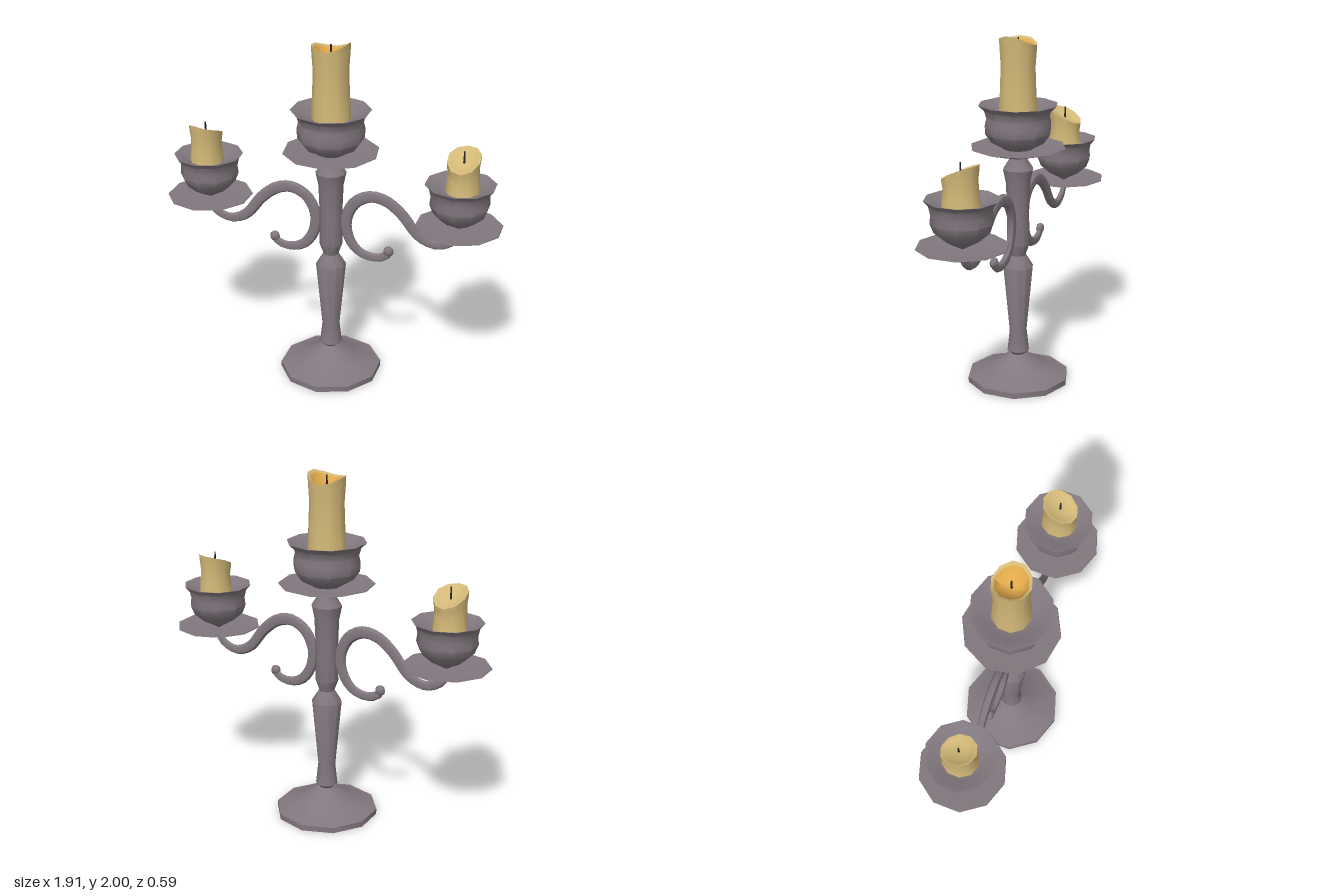
import * as THREE from 'three';
import { toCreasedNormals } from 'three/addons/utils/BufferGeometryUtils.js';

const std = (name, color) => Object.assign(new THREE.MeshStandardMaterial({ color }), { name });

export function createModel() {
  const metal = std('pewter', 0x82787f);
  const wax = std('wax', 0xd3b978);
  const hotWax = std('meltedWax', 0xe0a84a);
  const wickMat = std('wick', 0x26262c);

  const root = new THREE.Group();
  root.name = 'candelabra';

  const add = (parent, name, geo, mat) => {
    const m = new THREE.Mesh(geo, mat);
    m.name = name;
    parent.add(m);
    return m;
  };

  // Ten-sided turned shape, profile as [radius, y] from bottom to top
  const turned = (profile) =>
    new THREE.LatheGeometry(profile.map(([r, y]) => new THREE.Vector2(r, y)), 10);
  const crease = (geo) => toCreasedNormals(geo, 0.7);

  // Move each vertex height by a rule of radius, height and angle parts
  const reshape = (geo, rule) => {
    const p = geo.attributes.position;
    for (let i = 0; i < p.count; i++) {
      const x = p.getX(i), z = p.getZ(i), r = Math.hypot(x, z);
      const c = r > 1e-5 ? x / r : 0, s = r > 1e-5 ? z / r : 0;
      p.setY(i, rule(r, p.getY(i), c, s));
    }
    return crease(geo);
  };

  // Candle with an uneven rim, a hollow top and a wick
  const candle = (o) => {
    const g = new THREE.Group();
    g.name = 'candle';
    const { r, base, rim, mid, depth } = o;
    const wall = turned([[r * 1.04, 0], [r * 0.97, 0.3], [r * 0.92, 0.65], [r * 0.98, 0.88], [r, 1]]);
    add(g, 'candleWall', reshape(wall, (_, t, c, s) => base + t * (rim(c, s) - base)), wax);
    const lip = turned([[r, 0], [r * 0.85, 0.15]]);
    const pool = turned([[r * 0.85, 0.15], [r * 0.6, 0.7], [r * 0.3, 0.95], [0, 1]]);
    const sink = (rad, t, c, s) => mid + (rim(c, s) - mid) * (rad / r) - depth * t;
    add(g, 'candleLip', reshape(lip, sink), wax);
    add(g, 'meltedPool', reshape(pool, sink), o.pool);
    const foot = mid - depth - 0.01;
    const wick = new THREE.CylinderGeometry(0.004, 0.007, o.wickTop - foot, 6);
    wick.translate(0, (o.wickTop + foot) / 2, 0);
    add(g, 'wick', wick, wickMat);
    return g;
  };

  // Base and column
  add(root, 'base', crease(turned([
    [0, 0], [0.294, 0], [0.294, 0.032], [0.275, 0.034], [0.135, 0.098], [0.048, 0.16],
  ])), metal);
  add(root, 'column', crease(turned([
    [0.04, 0.155], [0.064, 0.178], [0.062, 0.19], [0.05, 0.3], [0.086, 0.69], [0.044, 0.757],
    [0.046, 0.765], [0.066, 0.82], [0.063, 1.0], [0.07, 1.18], [0.086, 1.257], [0.045, 1.322], [0.045, 1.34],
  ])), metal);

  // Central drip plate, cup and candle
  const plate = add(root, 'centrePlate', crease(turned([
    [0, 1.318], [0.05, 1.322], [0.268, 1.382], [0.266, 1.386], [0, 1.366],
  ])), metal);
  plate.rotation.y = Math.PI / 20;
  add(root, 'centreCup', crease(turned([
    [0.07, 1.36], [0.09, 1.38], [0.15, 1.412], [0.184, 1.46], [0.187, 1.51], [0.178, 1.55],
    [0.19, 1.59], [0.222, 1.62], [0.2, 1.616], [0.15, 1.588], [0.1, 1.572], [0, 1.57],
  ])), metal);
  root.add(candle({
    r: 0.105, base: 1.565, mid: 1.965, depth: 0.06, wickTop: 1.983, pool: hotWax,
    rim: (c, s) => 1.9725 + 0.01 * c + 0.01 * s + 0.0175 * (c * c - s * s),
  }));

  // Scrolled arm, thickest in the middle of the curl
  const path = new THREE.CatmullRomCurve3([
    [0.725, 0.99], [0.705, 0.94], [0.61, 0.895], [0.51, 0.93], [0.41, 1.05], [0.32, 1.12], [0.23, 1.137],
    [0.14, 1.09], [0.09, 0.985], [0.105, 0.87], [0.165, 0.79], [0.25, 0.765], [0.32, 0.785], [0.338, 0.822],
  ].map(([x, y]) => new THREE.Vector3(x, y, 0)));
  const armGeometry = () => {
    const segs = 36, sides = 8;
    const geo = new THREE.TubeGeometry(path, segs, 1, sides);
    const p = geo.attributes.position, v = new THREE.Vector3();
    for (let i = 0; i < p.count; i++) {
      const t = Math.floor(i / (sides + 1)) / segs;
      const centre = path.getPointAt(t);
      const rad = 0.022 + 0.013 * Math.sin(Math.PI * Math.min(1, t * 0.95 + 0.02));
      v.fromBufferAttribute(p, i).sub(centre).multiplyScalar(rad);
      v.z *= 0.68;
      v.add(centre);
      p.setXYZ(i, v.x, v.y, v.z);
    }
    geo.computeVertexNormals();
    return crease(geo);
  };

  // One branch: arm, plate, cup and candle
  const branch = (name) => {
    const g = new THREE.Group();
    g.name = name;
    add(g, 'arm', armGeometry(), metal);
    const tip = add(g, 'armTip', new THREE.SphereGeometry(0.03, 8, 6), metal);
    tip.position.set(0.336, 0.815, 0);
    tip.scale.z = 0.8;
    const holder = new THREE.Group();
    holder.name = 'candleHolder';
    holder.position.x = 0.724;
    add(holder, 'plate', crease(turned([
      [0, 0.974], [0.04, 0.978], [0.242, 1.028], [0.24, 1.033], [0, 1.015],
    ])), metal);
    add(holder, 'cup', crease(turned([
      [0, 1.012], [0.03, 1.03], [0.09, 1.062], [0.145, 1.11], [0.165, 1.16], [0.16, 1.205],
      [0.17, 1.25], [0.195, 1.278], [0.176, 1.274], [0.13, 1.25], [0.09, 1.238], [0, 1.236],
    ])), metal);
    const c = candle({
      r: 0.1, base: 1.23, mid: 1.425, depth: 0.022, wickTop: 1.468, pool: wax,
      rim: (x, z) => 1.423 + 0.006 * x - 0.045 * z - 0.006 * (z * z - x * x),
    });
    c.position.x = 0.011;
    c.scale.x = 0.92;
    holder.add(c);
    g.add(holder);
    return g;
  };
  root.add(branch('leftBranch'));
  const right = branch('rightBranch');
  right.rotation.y = Math.PI;
  root.add(right);

  return root;
}
